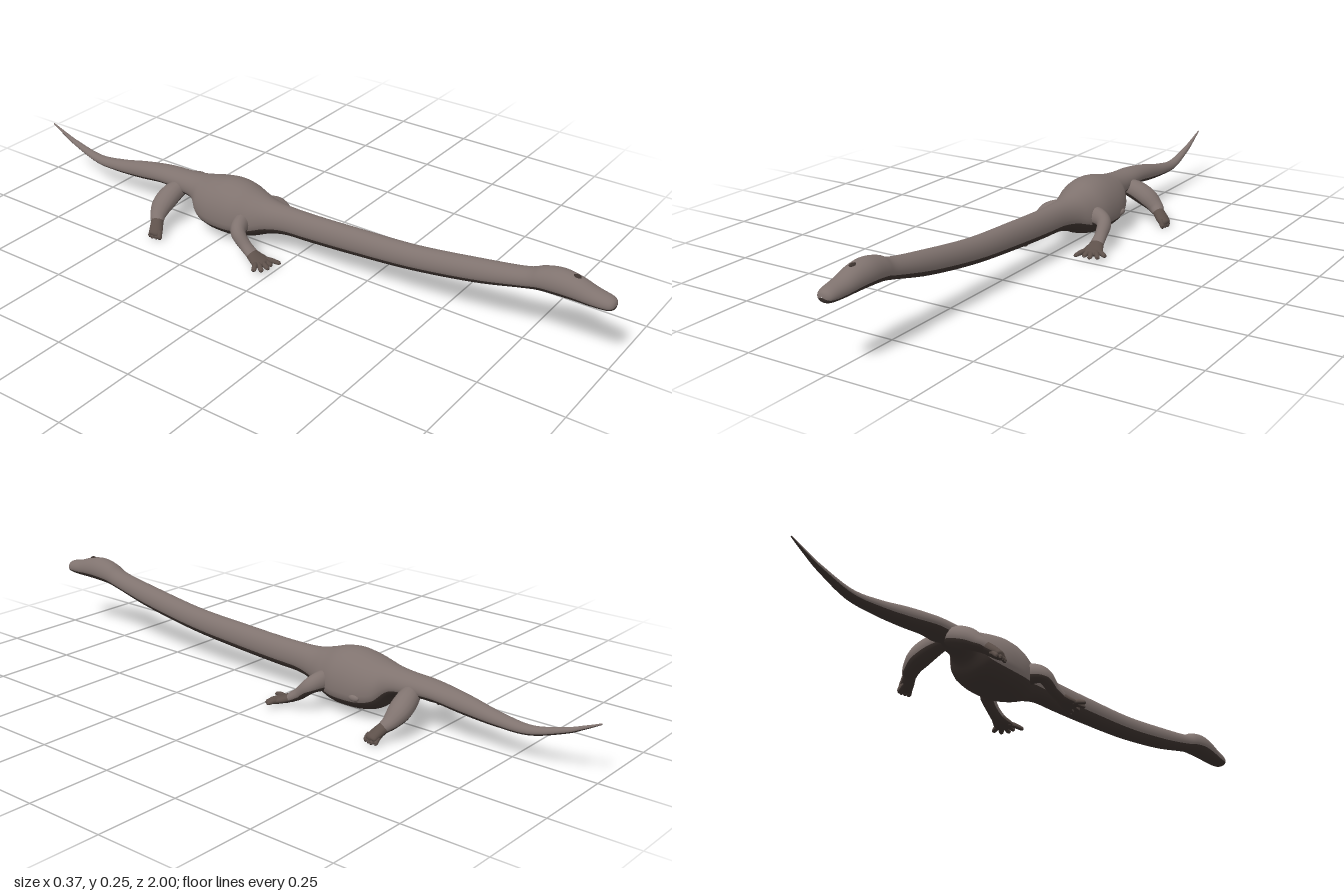
import * as THREE from 'three';

function material(name, color) {
  const m = new THREE.MeshStandardMaterial({ color });
  m.name = name;
  return m;
}
const hide = material('greyBrownHide', 0x80736f);
const under = material('darkUnderside', 0x3c322e);
const footSkin = material('brownFeet', 0x5e514b);

// Sweeps an oval along rows of [x, y, z, half width, upper half height, lower half height].
// The lower part of every section takes the underside colour.
// With upright = true every section stays in a plane of constant z.
function sweep(name, rows, steps, sides, skin = hide, upright = false) {
  const path = new THREE.CatmullRomCurve3(rows.map(r => new THREE.Vector3(r[0], r[1], r[2])), false, 'catmullrom', 0.5);
  const size = new THREE.CatmullRomCurve3(rows.map(r => new THREE.Vector3(r[3], r[4], r[5] ?? r[4])), false, 'catmullrom', 0.5);
  const side = new THREE.Vector3(1, 0, 0), up = new THREE.Vector3(0, 1, 0);
  const pos = [], upper = [], lower = [];
  for (let i = 0; i <= steps; i++) {
    const t = i / steps, c = path.getPoint(t), s = size.getPoint(t);
    if (!upright) {
      const dir = path.getTangent(t);
      side.set(0, 1, 0).cross(dir).normalize();
      up.copy(dir).cross(side);
    }
    for (let j = 0; j < sides; j++) {
      const a = j / sides * Math.PI * 2;
      const h = Math.sin(a) > 0 ? s.y : s.z;
      const p = c.clone().addScaledVector(side, Math.cos(a) * Math.max(s.x, 0.0005))
        .addScaledVector(up, Math.sin(a) * Math.max(h, 0.0005));
      pos.push(p.x, p.y, p.z);
      if (i < steps) {
        const k = (j + 1) % sides, q = i * sides;
        const list = Math.sin((j + 0.5) / sides * Math.PI * 2) < -0.36 ? lower : upper;
        list.push(q + j, q + k, q + sides + j, q + k, q + sides + k, q + sides + j);
      }
    }
  }
  const geo = new THREE.BufferGeometry();
  geo.setAttribute('position', new THREE.Float32BufferAttribute(pos, 3));
  geo.setIndex([...upper, ...lower]);
  geo.addGroup(0, upper.length, 0);
  geo.addGroup(upper.length, lower.length, 1);
  geo.computeVertexNormals();
  const mesh = new THREE.Mesh(geo, [skin, under]);
  mesh.name = name;
  return mesh;
}

function lump(name, skin, x, y, z, rx, ry, rz) {
  const mesh = new THREE.Mesh(new THREE.SphereGeometry(1, 14, 10), skin);
  mesh.name = name;
  mesh.position.set(x, y, z);
  mesh.scale.set(rx, ry, rz);
  return mesh;
}

// A tapering digit from a to b
function digit(name, a, b, r) {
  const m = a.map((v, i) => (v + b[i]) / 2);
  return sweep(name, [
    [...a, r, r], [m[0], m[1] + 0.003, m[2], r * 0.9, r * 0.9],
    [...b, r * 0.75, r * 0.6], [b[0] + (b[0] - m[0]) * 0.15, b[1], b[2] + (b[2] - m[2]) * 0.15, 0, 0],
  ], 9, 10, footSkin);
}

export function createModel() {
  const model = new THREE.Group();
  model.name = 'longNeckedReptile';

  // Tail, trunk, neck and head: z, top, bottom, half width, relative level of the widest point
  const profile = [
    [-1.0, 0.168, 0.164, 0.002], [-0.95, 0.148, 0.136, 0.006], [-0.9, 0.13, 0.112, 0.010],
    [-0.8, 0.107, 0.080, 0.017], [-0.7, 0.118, 0.078, 0.024], [-0.6, 0.14, 0.085, 0.031],
    [-0.5, 0.155, 0.098, 0.039], [-0.42, 0.160, 0.090, 0.043], [-0.37, 0.165, 0.078, 0.051],
    [-0.335, 0.171, 0.038, 0.075, 0.4], [-0.29, 0.182, 0.023, 0.088, 0.37], [-0.24, 0.19, 0.019, 0.091, 0.36],
    [-0.19, 0.186, 0.021, 0.087, 0.37], [-0.14, 0.17, 0.033, 0.070, 0.4], [-0.09, 0.158, 0.053, 0.050],
    [-0.03, 0.155, 0.067, 0.039], [0.06, 0.156, 0.071, 0.036], [0.2, 0.162, 0.08, 0.035],
    [0.4, 0.173, 0.098, 0.034], [0.6, 0.2, 0.13, 0.034], [0.74, 0.223, 0.164, 0.033],
    [0.79, 0.243, 0.175, 0.036], [0.84, 0.253, 0.179, 0.039], [0.89, 0.247, 0.180, 0.036],
    [0.94, 0.231, 0.180, 0.031], [0.98, 0.222, 0.182, 0.026], [0.995, 0.214, 0.188, 0.017],
    [1.0, 0.202, 0.200, 0.001],
  ];
  const body = profile.map(([z, top, bottom, w, level = 0.45]) => {
    const y = bottom + (top - bottom) * level;
    return [0, y, z, w, top - y, y - bottom];
  });
  model.add(sweep('body', body, 162, 36, hide, true));

  // Raised nostrils and small flank nub
  model.add(lump('nostrilRidge', under, 0, 0.246, 0.885, 0.008, 0.006, 0.012));
  model.add(lump('flankNub', hide, 0.086, 0.075, -0.285, 0.008, 0.010, 0.018));

  for (const s of [1, -1]) {
    const label = s > 0 ? 'left' : 'right';
    const flip = rows => rows.map(r => [r[0] * s, ...r.slice(1)]);

    // Front leg with spread fingers
    const front = new THREE.Group();
    front.name = label + 'FrontLeg';
    front.add(sweep('arm', flip([
      [0.04, 0.090, -0.165, 0.028, 0.036], [0.082, 0.090, -0.155, 0.025, 0.029],
      [0.106, 0.079, -0.140, 0.022, 0.023], [0.112, 0.052, -0.110, 0.019, 0.018],
      [0.115, 0.035, -0.083, 0.021, 0.015],
    ]), 28, 16));
    front.add(sweep('hand', flip([
      [0.114, 0.037, -0.088, 0.019, 0.013], [0.117, 0.029, -0.070, 0.025, 0.013],
      [0.120, 0.023, -0.050, 0.031, 0.011], [0.122, 0.020, -0.034, 0.025, 0.009],
      [0.122, 0.019, -0.027, 0, 0],
    ]), 20, 16, footSkin));
    const fingers = [[0.088, 0.017, -0.003], [0.108, 0.014, -0.018], [0.129, 0.014, -0.014],
      [0.153, 0.016, -0.020], [0.168, 0.019, -0.037]];
    fingers.forEach((tip, i) => front.add(digit('finger' + (i + 1),
      [(0.104 + i * 0.008) * s, 0.021, -0.052], [tip[0] * s, tip[1], tip[2]], 0.009)));
    model.add(front);

    // Hind leg with a broad thigh and sloping foot
    const hind = new THREE.Group();
    hind.name = label + 'HindLeg';
    hind.add(sweep('thigh', flip([
      [0.015, 0.112, -0.435, 0.026, 0.026], [0.055, 0.098, -0.443, 0.033, 0.031],
      [0.092, 0.079, -0.446, 0.034, 0.030], [0.122, 0.058, -0.441, 0.026, 0.022],
      [0.140, 0.044, -0.431, 0.020, 0.017],
    ]), 28, 16));
    hind.add(sweep('foot', flip([
      [0.137, 0.046, -0.433, 0.019, 0.016], [0.150, 0.036, -0.425, 0.020, 0.016],
      [0.164, 0.025, -0.417, 0.021, 0.014], [0.175, 0.017, -0.413, 0.018, 0.011],
      [0.180, 0.013, -0.412, 0, 0],
    ]), 20, 16, footSkin));
    for (let i = 0; i < 4; i++) {
      hind.add(digit('toe' + (i + 1), [(0.156 + i * 0.002) * s, 0.026, -0.430 + i * 0.009],
        [(0.180 - Math.abs(i - 1) * 0.003) * s, 0.008, -0.431 + i * 0.012], 0.009));
    }
    model.add(hind);
  }
  return model;
}
